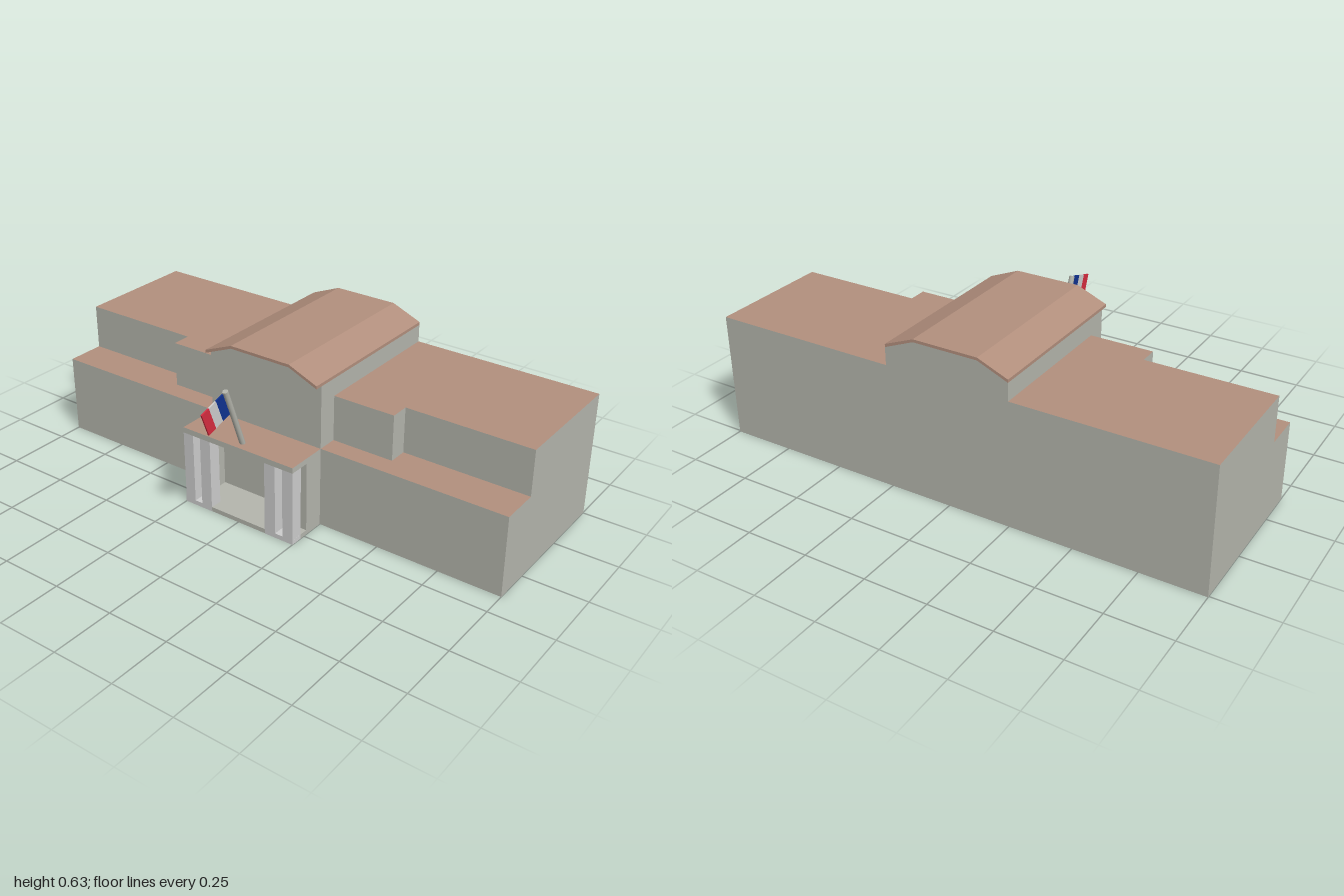
import * as THREE from 'three';

const mat = (name, color) => {
  const m = new THREE.MeshStandardMaterial({ color });
  m.name = name;
  return m;
};

export function createModel() {
  const wall = mat('stone grey', 0xb4b5ac);
  const roof = mat('roof brown', 0xb28f7d);
  const white = mat('pale stone', 0xcdcdcd);
  const blue = mat('flag blue', 0x0f318f);
  const red = mat('flag red', 0xd52b3f);
  const model = new THREE.Group();
  model.name = 'townHall';

  const add = (name, geometry, material) => {
    const mesh = new THREE.Mesh(geometry, material);
    mesh.name = name;
    model.add(mesh);
    return mesh;
  };

  // Box given by its limits, optionally with a different material on top
  const block = (name, [x0, x1], [y0, y1], [z0, z1], side, top = side) => {
    const g = new THREE.BoxGeometry(x1 - x0, y1 - y0, z1 - z0);
    g.translate((x0 + x1) / 2, (y0 + y1) / 2, (z0 + z1) / 2);
    return add(name, g, top === side ? side : [side, side, top, side, side, side]);
  };
  const mirrored = (name, [x0, x1], y, z, side, top) => {
    block(name + 'Left', [x0, x1], y, z, side, top);
    block(name + 'Right', [-x1, -x0], y, z, side, top);
  };

  // Prism from an outline
  const prism = (points, depth) => new THREE.ExtrudeGeometry(
    new THREE.Shape(points.map(p => new THREE.Vector2(...p))),
    { depth, bevelEnabled: false });

  // Ground floor, upper wings and their shallow front bays
  const back = -0.505;
  block('groundFloor', [-1, 1], [0, 0.32], [back, 0.15], wall, roof);
  mirrored('upperWing', [0.25, 1], [0.32, 0.5], [back, -0.005], wall, roof);
  mirrored('wingBay', [0.25, 0.5], [0.32, 0.5], [-0.005, 0.07], wall, roof);

  // Central hall with its faceted roof
  const hall = prism([[-0.25, 0.32], [0.25, 0.32], [0.25, 0.57], [0.13, 0.62],
    [-0.13, 0.62], [-0.25, 0.57]], 0.655);
  hall.translate(0, 0, back);
  add('centralHall', hall, wall);
  const hallRoof = prism([[-0.25, 0.57], [-0.13, 0.62], [0.13, 0.62], [0.25, 0.57],
    [0.25, 0.582], [0.13, 0.631], [-0.13, 0.631], [-0.25, 0.582]], 0.685);
  hallRoof.translate(0, 0, back);
  add('hallRoof', hallRoof, roof);

  // Entrance porch: floor, canopy, side walls and posts
  block('porchFloor', [-0.25, 0.25], [0, 0.018], [0.15, 0.319], wall);
  block('porchCanopy', [-0.25, 0.25], [0.298, 0.32], [0.15, 0.32], wall, roof);
  mirrored('porchWall', [0.2, 0.25], [0.018, 0.298], [0.15, 0.235], wall);
  mirrored('cornerPost', [0.205, 0.25], [0.015, 0.298], [0.27, 0.32], white);
  mirrored('innerPost', [0.125, 0.172], [0.015, 0.298], [0.27, 0.32], white);
  mirrored('postBase', [0.125, 0.2505], [0, 0.0185], [0.27, 0.32], white);

  // Slanted flagpole
  const foot = new THREE.Vector3(0, 0.315, 0.282);
  const tip = new THREE.Vector3(0, 0.566, 0.373);
  const along = tip.clone().sub(foot);
  const pole = add('flagpole', new THREE.CylinderGeometry(0.011, 0.011, along.length(), 8), wall);
  pole.position.copy(foot).add(tip).multiplyScalar(0.5);
  pole.quaternion.setFromUnitVectors(new THREE.Vector3(0, 1, 0), along.normalize());

  // Flag in three upright stripes, drawn as (z, y) and turned to face sideways
  const stripes = [['flagBlue', blue], ['flagWhite', white], ['flagRed', red]];
  const at = (u, v) => [0.354 + 0.115 * u + 0.035 * v, 0.47 - 0.035 * u + 0.092 * v];
  stripes.forEach(([name, material], i) => {
    const a = i / 3, b = (i + 1) / 3;
    const g = prism([at(a, 0), at(b, 0), at(b, 1), at(a, 1)], 0.006);
    g.translate(0, 0, -0.003);
    g.rotateY(-Math.PI / 2);
    add(name, g, material);
  });

  return model;
}
